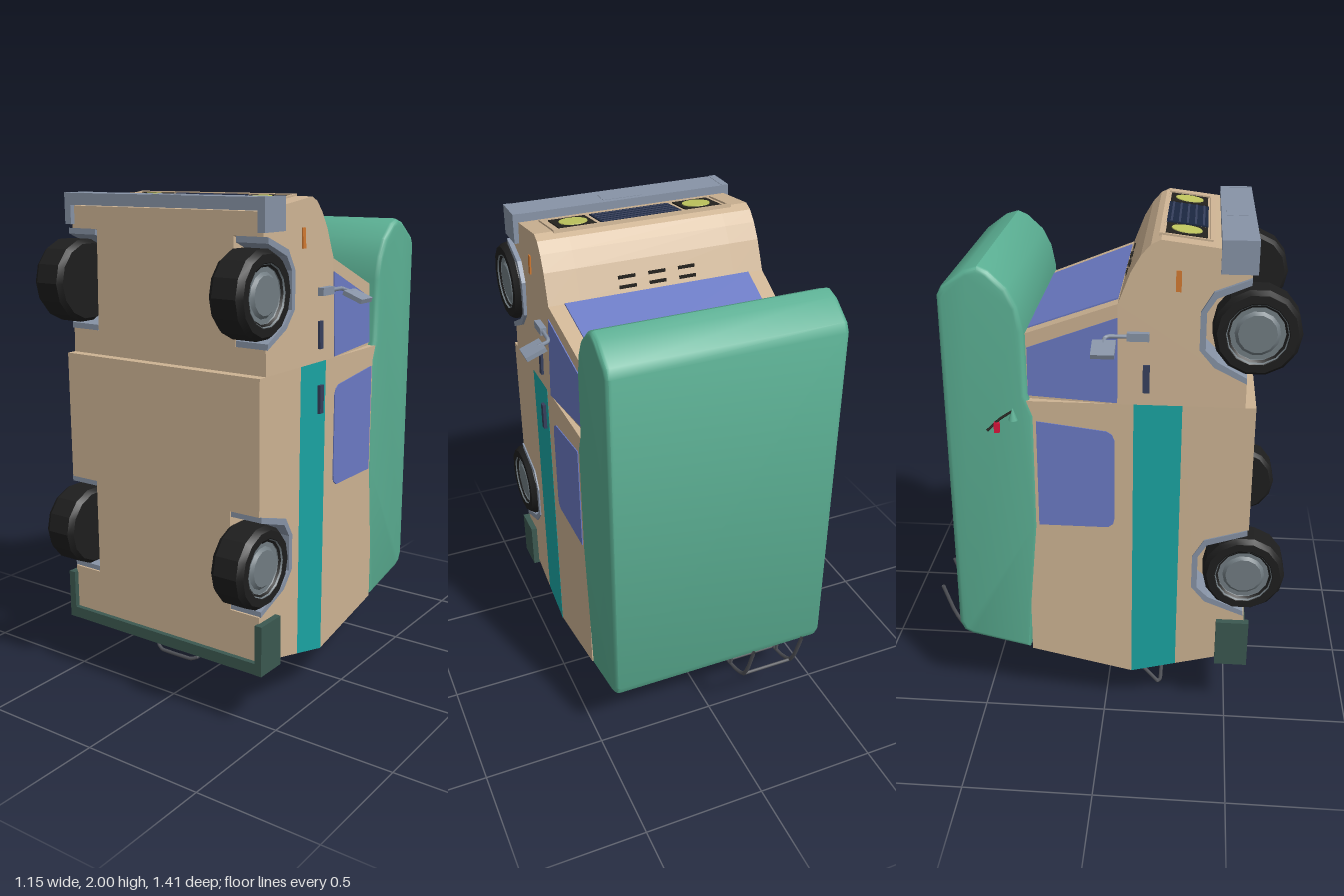
import * as THREE from 'three';
import { toCreasedNormals } from 'three/addons/utils/BufferGeometryUtils.js';

const paint = (color) => new THREE.MeshStandardMaterial({ color, side: THREE.DoubleSide });
const TAN = paint(0xcdb393), GREEN = paint(0x5aae92), TEAL = paint(0x1aa5a3), GLASS = paint(0x6b7ac4);
const STEEL = paint(0x8793a6), DARKGREEN = paint(0x3b5850), RUBBER = paint(0x1e1e1e), HUB = paint(0x717c82);
const NAVY = paint(0x1b2740), HANDLE = paint(0x363f5c), LAMP = paint(0xc0c65e), RED = paint(0xdc143c);
const ORANGE = paint(0xd07830), RAIL = paint(0x505258), BLACK = paint(0x24221e);

export function createModel() {
  const model = new THREE.Group();

  const add = (name, geo, mat, parent = model) => {
    const mesh = new THREE.Mesh(geo, mat);
    mesh.name = name;
    parent.add(mesh);
    return mesh;
  };
  const box = (name, mat, size, pos, parent) => {
    const mesh = add(name, new THREE.BoxGeometry(...size), mat, parent);
    mesh.position.set(...pos);
    return mesh;
  };
  // side outline given as [z, y], extruded from x0 to x1
  const prismGeo = (pts, x0, x1, bevel = 0) => {
    const shape = new THREE.Shape(pts.map(([z, y]) => new THREE.Vector2(z, y)));
    const geo = new THREE.ExtrudeGeometry(shape, {
      depth: x1 - x0 - 2 * bevel, bevelEnabled: bevel > 0, bevelSize: bevel,
      bevelThickness: bevel, bevelOffset: -bevel, bevelSegments: 3,
    });
    return geo.rotateY(-Math.PI / 2).translate(x1 - bevel, 0, 0);
  };
  const prism = (name, mat, pts, x0, x1) => add(name, prismGeo(pts, x0, x1), mat);
  // the cab narrows towards the nose and towards its roof
  const taper = (geo) => {
    const p = geo.attributes.position;
    for (let i = 0; i < p.count; i++) {
      const k = 1 - 0.06 * (p.getY(i) - 1.38) - 0.2 * Math.max(0, 0.05 - p.getZ(i));
      p.setX(i, p.getX(i) * k);
    }
    geo.computeVertexNormals();
    return geo;
  };
  const cabPrism = (name, mat, pts, x0, x1) => add(name, taper(prismGeo(pts, x0, x1)), mat);
  const tube = (name, pts, r, mat, parent) => {
    const curve = new THREE.CatmullRomCurve3(pts.map((p) => new THREE.Vector3(...p)), false, 'catmullrom', 0.2);
    return add(name, new THREE.TubeGeometry(curve, 28, r, 6), mat, parent);
  };

  // wheel arch outline around height c, opening towards +z
  const arch = (c, t = 0, edge = 0.52) => [
    [edge, c + 0.195 - t], [0.39 + t / 2, c + 0.145 - t], [0.345 + t, c + 0.07],
    [0.345 + t, c - 0.07], [0.4 + t / 2, c - 0.135 + t], [edge, c - 0.195 + t],
  ];
  const REAR = 0.675, FRONT = 1.67;

  // living section
  const lower = [[0.29, 1.38], [0.29, 0.228], [0.56, 0.3]];
  prism('livingLowerCore', TAN, [...lower, [0.56, 1.38]], -0.33, 0.33);
  prism('livingStripe', TEAL, [[0.29, 1.38], [0.29, 0.228], [0.11, 0.18], [0.11, 1.38]], -0.46, 0.46);
  prism('livingUpper', TAN, [[0.11, 1.38], [0.11, 0.18], [-0.3, 0.268], [-0.3, 1.38]], -0.459, 0.459);
  const roof = prismGeo([[-0.31, 0.27], [-0.55, 0.322], [-0.585, 0.34], [-0.603, 0.38], [-0.603, 1.775],
    [-0.585, 1.81], [-0.5, 1.872], [-0.45, 1.887], [-0.41, 1.87], [-0.345, 1.81], [-0.31, 1.74],
    [-0.292, 1.65], [-0.288, 1.4], [-0.258, 1.32], [-0.258, 0.85]], -0.462, 0.462, 0.02);
  add('raisedRoof', toCreasedNormals(roof, 0.6), GREEN);
  prism('livingWindow', GLASS, [[0.04, 1.23], [0.03, 1.255], [0.01, 1.268], [-0.255, 1.3], [-0.255, 0.86],
    [0.015, 0.86], [0.035, 0.875], [0.04, 0.9]], -0.463, 0.463);

  // cab
  const hood = [[0.05, 1.38], [0.05, 1.76], [0.095, 1.875], [0.13, 1.935], [0.165, 1.975], [0.2, 1.992],
    [0.39, 1.968], [0.52, 1.95]];
  cabPrism('cabCore', TAN, [...hood, [0.52, 1.38]], -0.33, 0.33);
  cabPrism('cabin', TAN, [[0.05, 1.38], [0.05, 1.76], [-0.295, 1.63], [-0.295, 1.38]], -0.46, 0.46);
  cabPrism('sideGlass', GLASS, [[0.05, 1.385], [0.05, 1.71], [-0.287, 1.578], [-0.287, 1.392]], -0.464, 0.464);
  cabPrism('windshield', GLASS, [[0.047, 1.765], [0.047, 1.75], [-0.29, 1.62], [-0.29, 1.637]], -0.395, 0.395);
  cabPrism('doorHandle', HANDLE, [[0.143, 1.43], [0.168, 1.43], [0.168, 1.535], [0.143, 1.535]], -0.47, 0.47);
  cabPrism('sideMarker', ORANGE, [[0.255, 1.81], [0.275, 1.81], [0.275, 1.885], [0.255, 1.885]], -0.466, 0.466);
  box('livingDoorHandle', HANDLE, [0.02, 0.11, 0.025], [0.463, 1.235, 0.155]);

  // outer panels with wheel cut-outs, arch trims, wheels and mirrors on both sides
  const tyre = [[0.1, 0.06], [0.115, 0.072], [0.145, 0.072], [0.16, 0.05], [0.16, -0.05], [0.145, -0.07], [0, -0.07]];
  const hub = [[0, 0.066], [0.07, 0.066], [0.082, 0.055], [0.1, 0.055], [0.112, 0.072]];
  const lathe = (pts) => new THREE.LatheGeometry(pts.map(([r, h]) => new THREE.Vector2(r, h)).reverse(), 14);
  for (const s of [1, -1]) {
    const span = (a, b) => (s > 0 ? [a, b] : [-b, -a]);
    prism('livingLowerPanel', TAN, [...lower, ...arch(REAR, 0, 0.56).reverse(), [0.56, 1.38]], ...span(0.33, 0.46));
    cabPrism('cabPanel', TAN, [...hood, ...arch(FRONT), [0.52, 1.38]], ...span(0.33, 0.46));
    for (const [c, edge] of [[REAR, 0.555], [FRONT, 0.52]]) {
      prism('archTrim', STEEL, [...arch(c, 0, edge), ...arch(c, 0.022, edge).reverse()], ...span(0.33, 0.466));
      const wheel = new THREE.Group();
      wheel.name = 'wheel';
      add('tyre', toCreasedNormals(lathe(tyre), 0.4), RUBBER, wheel);
      add('hubcap', toCreasedNormals(lathe(hub), 0.4), HUB, wheel);
      wheel.rotation.z = -s * Math.PI / 2;
      wheel.position.set(s * 0.411, c, 0.548);
      model.add(wheel);
    }
    const mirror = new THREE.Group();
    mirror.name = 'mirror';
    box('mirrorBracket', STEEL, [0.04, 0.03, 0.08], [s * 0.457, 1.645, 0.125], mirror);
    tube('mirrorArm', [[s * 0.465, 1.645, 0.1], [s * 0.468, 1.645, 0.02], [s * 0.475, 1.64, 0.005], [s * 0.51, 1.63, 0.005]],
      0.008, STEEL, mirror);
    box('mirrorHead', STEEL, [0.085, 0.018, 0.085], [s * 0.532, 1.618, 0.005], mirror).rotation.z = -s * 0.36;
    model.add(mirror);

    // bumper ends and tail lamps
    box('frontBumperEnd', STEEL, [0.03, 0.12, 0.13], [s * 0.45, 1.94, 0.475]);
    box('rearBumperEnd', DARKGREEN, [0.03, 0.2, 0.13], [s * 0.47, 0.355, 0.515]);
    box('tailLamp', RED, [0.12, 0.016, 0.05], [s * 0.36, 0.209, 0.23]).rotation.x = -0.26;
  }
  box('frontBumper', STEEL, [0.93, 0.045, 0.13], [0, 1.976, 0.475]);
  box('frontPlate', STEEL, [0.165, 0.006, 0.08], [0, 1.997, 0.47]);
  box('rearBumper', DARKGREEN, [0.97, 0.045, 0.13], [0, 0.278, 0.515]);
  box('rearPlate', HANDLE, [0.22, 0.014, 0.1], [0, 0.24, 0.37]).rotation.x = -0.26;
  box('rearWindow', GLASS, [0.52, 0.012, 0.19], [0, 0.223, -0.09]).rotation.x = 0.212;

  // nose: frame, grille and headlamps
  const nose = new THREE.Group();
  nose.name = 'nose';
  nose.position.set(0, 1.981, 0.285);
  nose.rotation.x = 0.126;
  model.add(nose);
  for (const s of [1, -1]) {
    box('noseFrameRail', TAN, [0.74, 0.014, 0.012], [0, 0, s * 0.09], nose);
    box('noseFrameSide', TAN, [0.012, 0.014, 0.18], [s * 0.364, 0, 0], nose);
    box('lampHousing', BLACK, [0.15, 0.01, 0.15], [s * 0.263, 0, 0], nose);
    add('headlamp', new THREE.CylinderGeometry(0.056, 0.06, 0.016, 20), LAMP, nose).position.x = s * 0.26;
  }
  box('grille', NAVY, [0.335, 0.01, 0.155], [0, 0, 0], nose);
  for (let i = 0; i < 5; i++) box('grilleSlat', HANDLE, [0.325, 0.015, 0.008], [0, 0, -0.06 + i * 0.03], nose);

  // hood vents, two rows of three
  for (let i = 0; i < 6; i++) {
    const row = Math.floor(i / 3);
    box('hoodVent', BLACK, [0.07, 0.012, 0.008], [((i % 3) - 1) * 0.125, 1.785 + row * 0.035, 0.06 + row * 0.0137]);
  }

  // rear ladder
  const ladder = new THREE.Group();
  ladder.name = 'ladder';
  model.add(ladder);
  const path = [[0.215, 0.022], [0.15, 0.095], [0.12, 0.112], [-0.3, 0.19], [-0.55, 0.24], [-0.625, 0.275],
    [-0.66, 0.34], [-0.7, 0.46]];
  for (const x of [-0.315, -0.095]) {
    tube('ladderRail', path.map(([z, y]) => [x, y, z]), 0.008, RAIL, ladder);
    tube('ladderMount', [[x, 0.12, 0.08], [x, 0.19, 0.09]], 0.007, RAIL, ladder);
    tube('ladderMount', [[x, 0.232, -0.51], [x, 0.32, -0.51]], 0.007, RAIL, ladder);
  }
  tube('ladderFoot', [[-0.315, 0.022, 0.215], [-0.28, 0.01, 0.226], [-0.13, 0.01, 0.226], [-0.095, 0.022, 0.215]],
    0.008, RAIL, ladder);
  for (const [z, y] of [[0.12, 0.112], [0, 0.134], [-0.12, 0.157], [-0.24, 0.179], [-0.36, 0.202], [-0.48, 0.226], [-0.625, 0.275]]) {
    tube('ladderRung', [[-0.315, y, z], [-0.095, y, z]], 0.007, RAIL, ladder);
  }

  // small side ornament on the roof wall
  const ornament = new THREE.Group();
  ornament.name = 'sideOrnament';
  model.add(ornament);
  tube('ornamentStem', [[-0.46, 1.34, -0.34], [-0.475, 1.31, -0.39], [-0.495, 1.27, -0.435]], 0.005, BLACK, ornament);
  const cone = add('ornamentTop', new THREE.ConeGeometry(0.018, 0.05, 8), GREEN, ornament);
  cone.position.set(-0.468, 1.33, -0.34);
  box('ornamentBody', RED, [0.018, 0.04, 0.02], [-0.482, 1.28, -0.4], ornament);

  return model;
}
